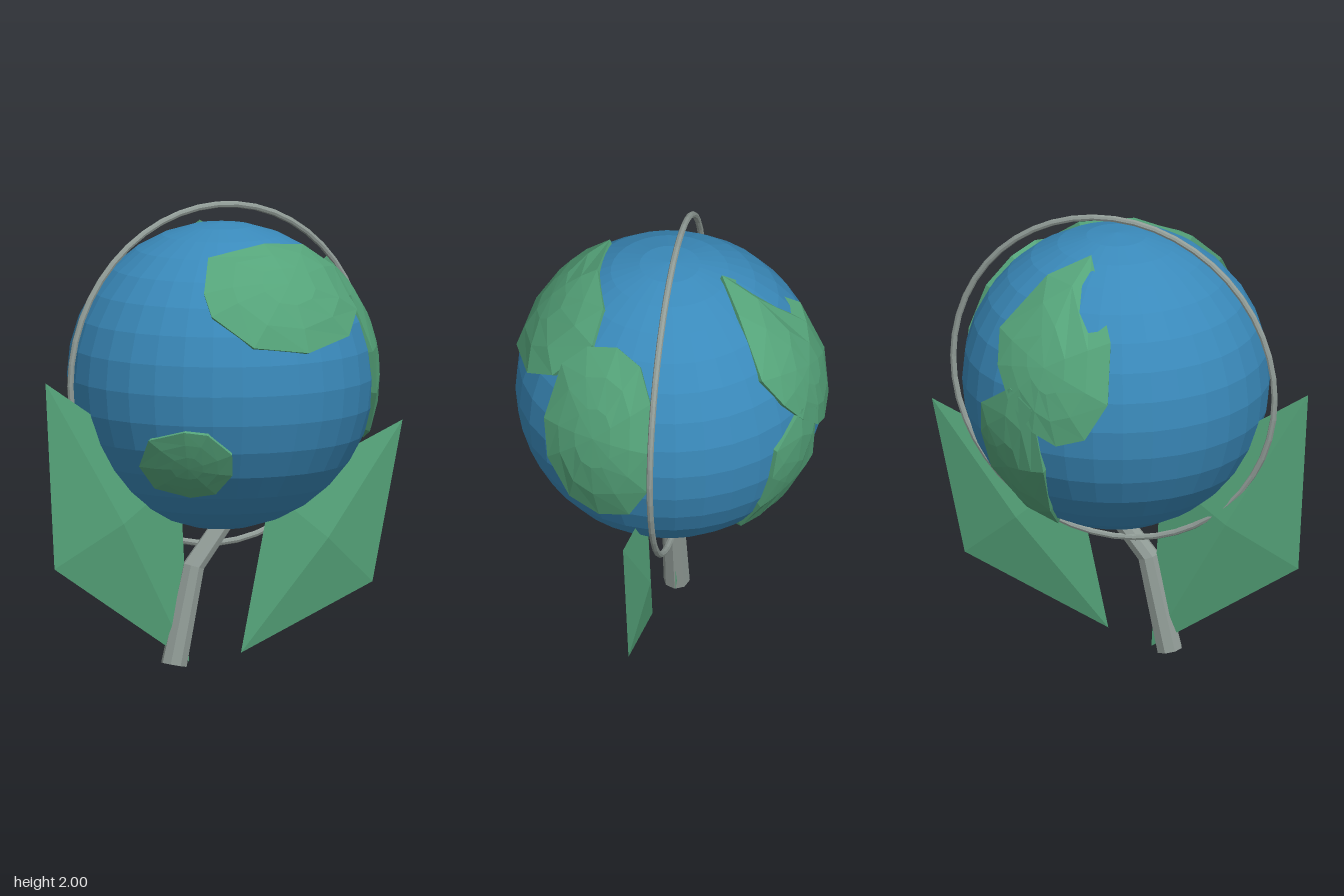
import * as THREE from 'three';

const CENTER_Y = 1.25;
const GLOBE_R = 0.662;
const LAND_R = 0.682;

function material(name, color) {
  const m = new THREE.MeshStandardMaterial({ color, flatShading: true });
  m.name = name;
  return m;
}

function add(parent, name, geometry, mat) {
  const mesh = new THREE.Mesh(geometry, mat);
  mesh.name = name;
  parent.add(mesh);
  return mesh;
}

// Missing coordinate of a point on the land sphere
const depth = (a, b) => Math.sqrt(Math.max(0, LAND_R ** 2 - a * a - b * b));
const fromFront = ([x, y]) => [x, y - CENTER_Y, depth(x, y - CENTER_Y)];
const fromSide = ([z, y]) => [depth(z, y - CENTER_Y), y - CENTER_Y, z];

// Raised faceted patch hugging the globe, with a rim that sinks into it
function landGeometry(points) {
  let rim = points.map((p) => new THREE.Vector3(...p).normalize());
  const mid = rim.reduce((s, p) => s.add(p), new THREE.Vector3()).normalize();
  const turn = rim.reduce((s, p, i) => s + new THREE.Vector3().crossVectors(p, rim[(i + 1) % rim.length]).dot(mid), 0);
  if (turn < 0) rim = rim.reverse();
  const n = rim.length;
  const pos = [...mid.clone().multiplyScalar(LAND_R).toArray()];
  const rings = [[1 / 3, LAND_R], [2 / 3, LAND_R], [1, LAND_R], [1, GLOBE_R - 0.03]];
  for (const [t, r] of rings) {
    for (const p of rim) pos.push(...mid.clone().lerp(p, t).normalize().multiplyScalar(r).toArray());
  }
  const index = [];
  for (let i = 0; i < n; i++) {
    const j = (i + 1) % n;
    index.push(0, 1 + i, 1 + j);
    for (let k = 0; k < rings.length - 1; k++) {
      const a = 1 + k * n, b = a + n;
      index.push(a + i, b + i, b + j, a + i, b + j, a + j);
    }
  }
  const g = new THREE.BufferGeometry();
  g.setAttribute('position', new THREE.Float32BufferAttribute(pos, 3));
  g.setIndex(index);
  g.computeVertexNormals();
  return g;
}

// Flat four-cornered leaf with a raised centre on both sides
function leafGeometry([cx, cy, cz], [ax, ay], [bx, by]) {
  const g = new THREE.OctahedronGeometry(1, 0);
  const m = new THREE.Matrix4().makeBasis(
    new THREE.Vector3(ax, ay, 0), new THREE.Vector3(bx, by, 0), new THREE.Vector3(0, 0, 0.055));
  g.applyMatrix4(m.setPosition(cx, cy, cz));
  g.computeVertexNormals();
  return g;
}

// Bent, tapering eight-sided stem
function stemGeometry() {
  const levels = [
    { c: [-0.24, 0.014], n: [0.98, -0.2], r: 0.057 },
    { c: [-0.143, 0.433], n: [0.95, -0.3], r: 0.048 },
    { c: [0.03, 0.64], n: [0.77, -0.64], r: 0.042 },
  ];
  const g = new THREE.CylinderGeometry(1, 1, 2, 8, 2);
  const p = g.attributes.position;
  for (let i = 0; i < p.count; i++) {
    const { c, n, r } = levels[Math.round(p.getY(i) + 1)];
    const x = p.getX(i) * r;
    p.setXYZ(i, c[0] + x * n[0], c[1] + x * n[1], 0.008 + p.getZ(i) * r);
  }
  g.computeVertexNormals();
  return g;
}

export function createModel() {
  const model = new THREE.Group();
  model.name = 'globe';
  const blue = material('oceanBlue', 0x3a8abb);
  const green = material('leafGreen', 0x55a47a);
  const grey = material('metalGrey', 0x919c97);

  add(model, 'ocean', new THREE.SphereGeometry(GLOBE_R, 32, 16), blue).position.y = CENTER_Y;

  // Land patches, each given by its outline
  const lands = {
    frontLand: [
      [-0.24, 1.815], [0.03, 1.857], [0.26, 1.83], [0.4, 1.73], [0.415, 1.56],
      [0.3, 1.47], [0.05, 1.425], [-0.2, 1.46], [-0.335, 1.59], [-0.33, 1.68],
    ].map(fromFront),
    leftLand: [
      [0.16, 1.755], [0.05, 1.715], [-0.01, 1.59], [-0.015, 1.38], [-0.01, 1.18], [0.075, 1.02],
      [0.215, 0.963], [0.35, 1.01], [0.45, 1.19], [0.47, 1.375], [0.405, 1.62], [0.295, 1.72],
    ].map(fromSide),
    smallLand: [
      [-0.56, 1.05], [-0.465, 1.095], [-0.385, 1.085], [-0.28, 0.995], [-0.255, 0.9],
      [-0.285, 0.81], [-0.36, 0.79], [-0.475, 0.825], [-0.55, 0.925],
    ].map(fromFront),
    upperBackLand: [
      [0.03, 0.637, -0.23], [0.195, 0.567, -0.33], [0.365, 0.347, -0.46], [0.34, 0.21, -0.55],
      [0.27, 0.09, -0.62], [0.14, -0.03, -0.665], [0.03, -0.075, -0.675], [-0.1, -0.03, -0.67],
      [-0.19, 0.13, -0.63], [-0.17, 0.38, -0.54],
    ],
    lowerBackLand: [
      [0.42, 0.02, -0.53], [0.26, 0.138, -0.61], [0.145, 0.07, -0.658], [0.1, -0.22, -0.63],
      [0.123, -0.458, -0.486], [0.155, -0.59, -0.3], [0.279, -0.509, -0.352],
      [0.4, -0.3, -0.454], [0.428, -0.12, -0.512],
    ],
  };
  for (const [name, outline] of Object.entries(lands)) {
    add(model, name, landGeometry(outline), green).position.y = CENTER_Y;
  }

  // Ring around the globe
  add(model, 'ring', new THREE.TorusGeometry(0.733, 0.014, 8, 48), grey).position.set(0, 1.252, -0.03);

  add(model, 'stem', stemGeometry(), grey);

  // Leaves, each from centre and two half diagonals
  add(model, 'leftLeaf', leafGeometry([0.4625, 0.525, 0.065], [0.4025, 0.475], [-0.2525, 0.215]), green);
  add(model, 'rightLeaf', leafGeometry([-0.5175, 0.65, 0], [0.3125, 0.18], [-0.3575, 0.63]), green);

  return model;
}
